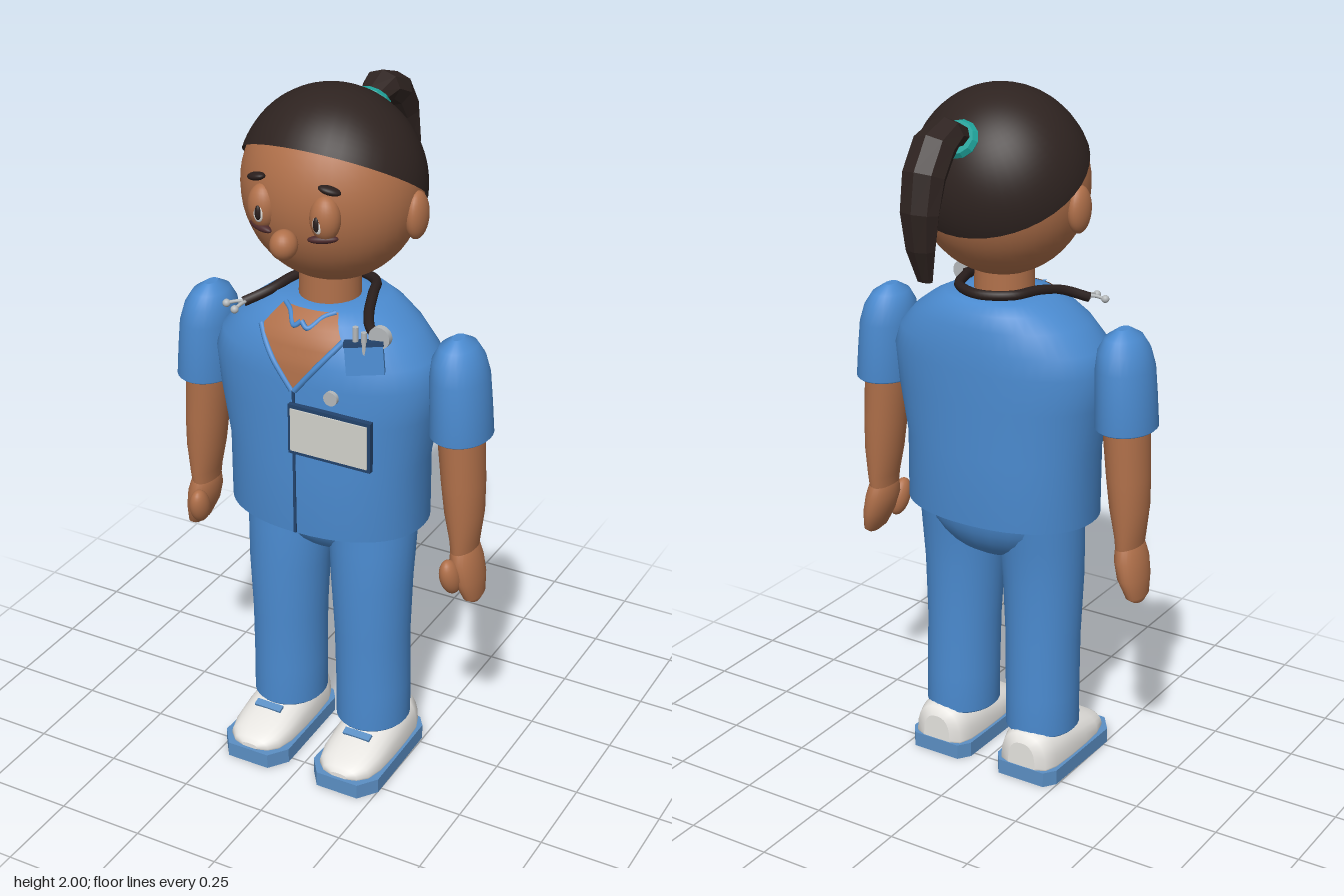
import * as THREE from 'three';

const mat = (color, extra = {}) => new THREE.MeshStandardMaterial({ color, ...extra });
const skin = mat(0xb0704a), blue = mat(0x4b8bd0), darkBlue = mat(0x23436b), dark = mat(0x2a1f1d);
const hairMat = mat(0x2e2320, { side: THREE.DoubleSide }), hairFlat = mat(0x2e2320, { flatShading: true });
const white = mat(0xe6e4e0), teal = mat(0x1fa39b, { flatShading: true }), grey = mat(0xb4b8ba);
const bagMat = mat(0x4d2a2c), cardMat = mat(0xd2d2cb), soleMat = mat(0x5b8fc4);
const skinOpen = mat(0xb0704a, { side: THREE.DoubleSide });

export function createModel() {
  const root = new THREE.Group();

  const add = (name, geo, material, pos = [0, 0, 0], rot = [0, 0, 0], scale = [1, 1, 1]) => {
    const m = new THREE.Mesh(geo, material);
    m.name = name;
    m.position.set(...pos);
    m.rotation.set(...rot);
    m.scale.set(...scale);
    root.add(m);
    return m;
  };
  const ball = (name, material, pos, radii, rot) =>
    add(name, new THREE.SphereGeometry(1, 24, 16), material, pos, rot, radii);
  const tube = (name, material, pts, r, n = 32) =>
    add(name, new THREE.TubeGeometry(new THREE.CatmullRomCurve3(pts.map(p => new THREE.Vector3(...p))), n, r, 8), material);

  // Elliptical ring around c, square to the direction (0, ty, tz)
  const ring = (c, rx, rv, ty = 1, tz = 0, n = 28, power = 2) =>
    Array.from({ length: n }, (_, i) => {
      const a = i / n * Math.PI * 2, k = 2 / power;
      const u = Math.sign(Math.cos(a)) * Math.abs(Math.cos(a)) ** k * rx;
      const v = Math.sign(Math.sin(a)) * Math.abs(Math.sin(a)) ** k * rv;
      return [c[0] + u, c[1] - tz * v, c[2] + ty * v];
    });

  // Skin a row of rings and close both ends
  const loft = (name, rings, material) => {
    const pos = rings.flat(2), idx = [], n = rings[0].length;
    for (let i = 0; i < rings.length - 1; i++)
      for (let j = 0; j < n; j++) {
        const a = i * n + j, c = i * n + (j + 1) % n;
        idx.push(a, a + n, c, c, a + n, c + n);
      }
    [rings[0], rings[rings.length - 1]].forEach((r, end) => {
      const base = pos.length / 3;
      pos.push(...r.flat(), ...[0, 1, 2].map(k => r.reduce((s, p) => s + p[k], 0) / n));
      for (let j = 0; j < n; j++) {
        const a = base + j, b = base + (j + 1) % n;
        idx.push(base + n, ...(end ? [b, a] : [a, b]));
      }
    });
    const g = new THREE.BufferGeometry();
    g.setAttribute('position', new THREE.Float32BufferAttribute(pos, 3));
    g.setIndex(idx);
    g.computeVertexNormals();
    return add(name, g, material);
  };
  // Upright limb from rows of [y, x, rx, z, rz]
  const limb = (name, rows, s, material) =>
    loft(name, rows.map(([y, x, rx, z, rz]) => ring([s * x, y, z], rx, rz)), material);

  // Shirt: rows of [y, half width, front z, back z]
  const shirt = [[0.8, 0.288, 0.285, -0.115], [1.0, 0.288, 0.287, -0.115], [1.15, 0.318, 0.287, -0.117],
    [1.25, 0.33, 0.285, -0.117], [1.31, 0.31, 0.28, -0.115], [1.37, 0.255, 0.262, -0.108],
    [1.41, 0.2, 0.235, -0.095], [1.435, 0.15, 0.2, -0.075], [1.44, 0.09, 0.16, -0.02]];
  const shirtRing = ([y, w, f, b], inset = 0, dy = 0) =>
    ring([0, y + dy, (f + b) / 2], w - inset, (f - b) / 2 - inset, 1, 0, 48, 2.2);
  loft('shirt', [shirtRing(shirt[0], 0.02, 0.025), shirtRing(shirt[0], 0.015), ...shirt.map(r => shirtRing(r))], blue);
  // Front of the shirt at a given x and y
  const shirtFront = (x, y) => {
    let i = 0;
    while (i < shirt.length - 2 && shirt[i + 1][0] < y) i++;
    const t = (y - shirt[i][0]) / (shirt[i + 1][0] - shirt[i][0]);
    const [w, f, b] = [1, 2, 3].map(k => shirt[i][k] + (shirt[i + 1][k] - shirt[i][k]) * t);
    return (f + b) / 2 + (f - b) / 2 * Math.max(0, 1 - Math.abs(x / w) ** 2.2) ** (1 / 2.2);
  };

  // Bare skin in the V-neck, laid over the shirt
  const vneck = new THREE.PlaneGeometry(1, 1, 12, 12), vp = vneck.attributes.position;
  for (let i = 0; i < vp.count; i++) {
    const t = vp.getY(i) + 0.5, y = 1.235 + t * 0.2;
    const w = t < 0.72 ? 0.004 + 0.116 * t / 0.72 : 0.12 - (t - 0.72) * 0.14;
    const x = vp.getX(i) * 2 * w;
    vp.setXYZ(i, x, y, shirtFront(x, y) + 0.005);
  }
  vneck.computeVertexNormals();
  add('neckline', vneck, skinOpen);
  add('shirtSeam', new THREE.BoxGeometry(0.008, 0.43, 0.006), darkBlue, [0, 1.017, 0.286]);
  for (const s of [1, -1]) {
    tube('lapel', blue, [0, 0.25, 0.5, 0.75, 1].map(t => {
      const x = s * (0.004 + 0.118 * t), y = 1.235 + 0.147 * t;
      return [x, y, shirtFront(x, y) + 0.004];
    }), 0.008);
    tube('collarTip', blue, [[s * 0.075, 1.435, 0.19], [s * 0.05, 1.425, 0.21], [s * 0.02, 1.4, 0.245], [0, 1.415, 0.24]], 0.007);
  }

  // Name card, button, pocket and pens
  add('badgeFrame', new THREE.BoxGeometry(0.245, 0.145, 0.016), darkBlue, [0.112, 1.125, 0.292]);
  add('badgeCard', new THREE.BoxGeometry(0.228, 0.124, 0.006), cardMat, [0.112, 1.125, 0.301]);
  add('badgeClip', new THREE.CylinderGeometry(0.02, 0.02, 0.012, 20), grey, [0.11, 1.235, shirtFront(0.11, 1.235) + 0.006], [Math.PI / 2, 0, 0]);
  add('pocket', new THREE.BoxGeometry(0.1, 0.085, 0.025), blue, [0.19, 1.355, 0.248], [-0.1, 0.4, 0.12]);
  add('pocketHem', new THREE.BoxGeometry(0.104, 0.012, 0.03), darkBlue, [0.185, 1.395, 0.244], [-0.1, 0.4, 0.12]);
  for (const [x, h] of [[0.165, 1.395], [0.19, 1.385]])
    add('pen', new THREE.CylinderGeometry(0.008, 0.008, 0.09, 10), grey, [x, h, 0.252]);

  // Stethoscope hung around the neck
  tube('stethoscopeTube', dark, [[-0.2, 1.41, 0.2], [-0.15, 1.435, 0.15], [-0.12, 1.452, 0.07], [-0.085, 1.452, -0.01], [0, 1.45, -0.045],
    [0.085, 1.452, -0.01], [0.12, 1.452, 0.07], [0.15, 1.435, 0.15], [0.18, 1.42, 0.2], [0.21, 1.41, 0.22]], 0.014, 64);
  add('stethoscopeDisc', new THREE.CylinderGeometry(0.03, 0.03, 0.018, 24), grey, [0.222, 1.412, 0.223], [Math.PI / 2, 0, 0]);
  for (const [x, z] of [[-0.24, 0.22], [-0.2, 0.245]]) {
    tube('earTube', grey, [[-0.19, 1.414, 0.195], [(x - 0.19) / 2, 1.413, (z + 0.2) / 2], [x, 1.406, z]], 0.005, 10);
    ball('earTip', grey, [x, 1.406, z], [0.011, 0.011, 0.011]);
  }

  // Neck and head
  add('neck', new THREE.CylinderGeometry(0.082, 0.085, 0.14, 28), skin, [0, 1.46, 0.085]);
  add('head', new THREE.SphereGeometry(1, 40, 28), skin, [0, 1.74, 0.07], [0, 0, 0], [0.243, 0.255, 0.228]);
  ball('nose', skin, [0, 1.66, 0.325], [0.036, 0.04, 0.038]);
  add('mouth', new THREE.TorusGeometry(0.07, 0.005, 8, 20, 1.15), bagMat, [0, 1.65, 0.25], [0.15, 0, -Math.PI / 2 - 0.575]);
  for (const s of [1, -1]) {
    ball('ear', skin, [s * 0.242, 1.695, 0.065], [0.028, 0.065, 0.045]);
    ball('eyelid', skin, [s * 0.09, 1.73, 0.272], [0.041, 0.06, 0.038]);
    ball('eye', white, [s * 0.086, 1.724, 0.301], [0.016, 0.028, 0.01]);
    ball('pupil', dark, [s * 0.084, 1.724, 0.307], [0.009, 0.02, 0.008]);
    ball('eyeBag', bagMat, [s * 0.09, 1.678, 0.285], [0.04, 0.011, 0.014], [0, s * 0.35, s * 0.08]);
    ball('eyebrow', dark, [s * 0.105, 1.808, 0.277], [0.03, 0.011, 0.018], [0, s * 0.35, -s * 0.25]);
  }

  // Hair cap with a hairline sloping down to the nape
  const cap = new THREE.SphereGeometry(1, 40, 20, 0, Math.PI * 2, 0, 1.47);
  cap.rotateX(-Math.PI / 6).scale(0.252, 0.26, 0.236);
  add('hair', cap, hairMat, [0, 1.74, 0.07]);

  // Ponytail: rows of [y, z, half width, half depth] along a curve
  const tail = [[1.885, -0.1, 0.03, 0.025], [1.905, -0.15, 0.04, 0.032], [1.92, -0.2, 0.055, 0.043], [1.895, -0.255, 0.062, 0.052],
    [1.83, -0.3, 0.062, 0.05], [1.74, -0.322, 0.058, 0.04], [1.645, -0.32, 0.045, 0.028], [1.555, -0.302, 0.024, 0.01]];
  loft('ponytail', tail.map(([y, z, w, d], i) => {
    const a = tail[Math.max(0, i - 1)], b = tail[Math.min(tail.length - 1, i + 1)];
    const l = Math.hypot(b[0] - a[0], b[1] - a[1]);
    return ring([0, y, z], w, d, (b[0] - a[0]) / l, (b[1] - a[1]) / l, 8);
  }), hairFlat);
  add('hairTie', new THREE.TorusGeometry(0.038, 0.016, 6, 12), teal, [0, 1.893, -0.142], [0.55, 0, 0], [1.1, 1, 1]);

  // Hips
  ball('hips', blue, [0, 0.83, 0.06], [0.235, 0.175, 0.155]);

  // Limbs, mirrored
  for (const s of [1, -1]) {
    limb('sleeve', [[1.13, 0.392, 0.07, 0.08, 0.085], [1.11, 0.392, 0.078, 0.08, 0.094], [1.115, 0.392, 0.083, 0.08, 0.1], [1.2, 0.388, 0.08, 0.08, 0.099],
      [1.28, 0.383, 0.077, 0.08, 0.097], [1.33, 0.378, 0.067, 0.08, 0.087], [1.365, 0.376, 0.047, 0.08, 0.065], [1.387, 0.375, 0.015, 0.08, 0.025]], s, blue);
    limb('forearm', [[0.765, 0.412, 0.034, 0.08, 0.058], [0.8, 0.412, 0.038, 0.08, 0.062], [0.88, 0.408, 0.052, 0.08, 0.068],
      [0.97, 0.402, 0.058, 0.08, 0.072], [1.13, 0.39, 0.063, 0.08, 0.075]], s, skin);
    limb('hand', [[0.608, 0.447, 0.012, 0.075, 0.025], [0.625, 0.442, 0.025, 0.075, 0.05], [0.68, 0.428, 0.039, 0.077, 0.066],
      [0.73, 0.418, 0.042, 0.08, 0.067], [0.775, 0.412, 0.034, 0.08, 0.056], [0.79, 0.412, 0.02, 0.08, 0.04]], s, skin);
    ball('thumb', skin, [s * 0.4, 0.7, 0.142], [0.028, 0.058, 0.035], [0.35, 0, s * 0.1]);
    limb('trouserLeg', [[0.145, 0.137, 0.09, 0.083, 0.095], [0.128, 0.137, 0.1, 0.083, 0.107], [0.135, 0.137, 0.106, 0.083, 0.113], [0.25, 0.136, 0.106, 0.083, 0.112],
      [0.42, 0.134, 0.107, 0.086, 0.113], [0.6, 0.132, 0.116, 0.088, 0.118], [0.72, 0.13, 0.123, 0.08, 0.122], [0.84, 0.128, 0.125, 0.07, 0.13]], s, blue);

    // Shoe upper: rows of [z, half width, top]
    const upper = [[-0.052, 0.045, 0.12], [-0.04, 0.075, 0.145], [0, 0.09, 0.155], [0.08, 0.095, 0.152], [0.16, 0.096, 0.132],
      [0.23, 0.093, 0.108], [0.28, 0.08, 0.088], [0.305, 0.055, 0.072], [0.315, 0.025, 0.058]];
    loft('shoe', upper.map(([z, w, top]) => ring([s * 0.147, 0.05, z], w, top - 0.05, 0, 1, 24, 2.5)
      .map(([x, y, d]) => [x, Math.max(y, 0.04), d])), white);
    const outline = [[-0.075, 0.055], [0.075, 0.055], [0.1, 0.02], [0.105, -0.27], [0.065, -0.325], [-0.065, -0.325], [-0.105, -0.27], [-0.1, 0.02]];
    const sole = new THREE.ExtrudeGeometry(new THREE.Shape(outline.map(p => new THREE.Vector2(...p))), { depth: 0.045, bevelEnabled: false });
    add('sole', sole, soleMat, [s * 0.147, 0, 0], [-Math.PI / 2, 0, 0]);
    add('lace', new THREE.BoxGeometry(0.085, 0.008, 0.022), soleMat, [s * 0.147, 0.12, 0.2], [0.33, 0, 0]);
  }
  return root;
}
